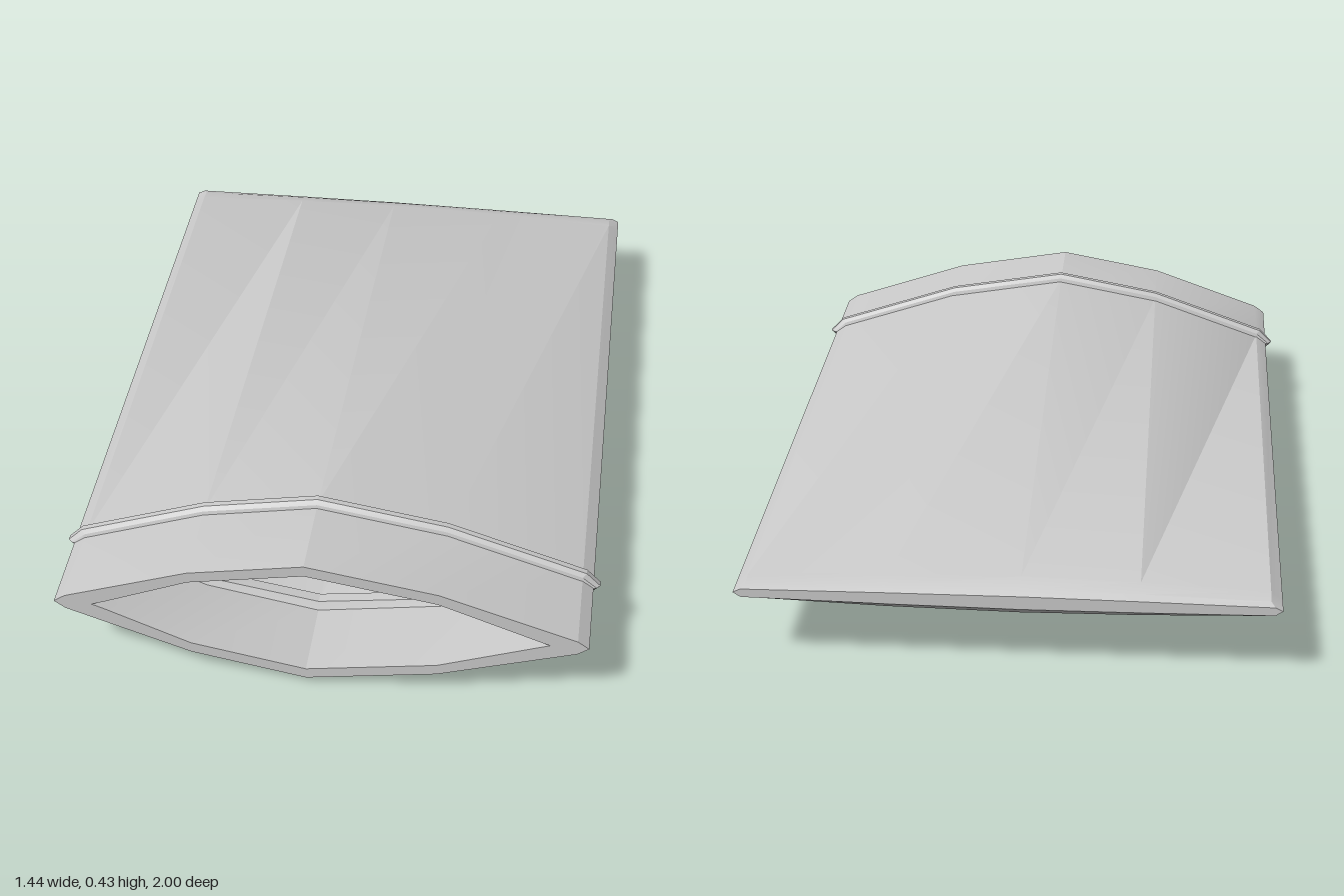
import * as THREE from 'three';
import { toCreasedNormals } from 'three/addons/utils/BufferGeometryUtils.js';

const MID = 0.22; // height of the side seams

// Lens-shaped ring: half heights at centre, quarter and edge, then edge and tip widths.
// The underside can be made fuller than the top.
function lens([z, centre, quarter, edge, edgeX, tipX, fullness = 1]) {
  const top = [
    [edgeX, edge], [0.31, quarter], [-0.035, centre], [-0.34, quarter], [-edgeX, edge],
  ];
  const bottom = top.map(([x, h]) => [x, -h * fullness]).reverse();
  return [[tipX, 0], ...top, [-tipX, 0], ...bottom].map(([x, h]) => [x, MID + h, z]);
}

// Skin over successive rings, with optional flat caps at both ends
function loft(sections, capped) {
  const rings = sections.map(lens);
  const n = rings[0].length;
  const index = [];
  for (let i = 0; i < rings.length - 1; i++) {
    for (let j = 0; j < n; j++) {
      const a = i * n + j, b = i * n + (j + 1) % n;
      index.push(a, b, b + n, a, b + n, a + n);
    }
  }
  if (capped) {
    const last = (rings.length - 1) * n;
    for (let j = 1; j < n - 1; j++) {
      index.push(0, j + 1, j);
      index.push(last, last + j, last + j + 1);
    }
  }
  const geometry = new THREE.BufferGeometry();
  geometry.setAttribute('position', new THREE.Float32BufferAttribute(rings.flat(2), 3));
  geometry.setIndex(index);
  return toCreasedNormals(geometry, 0.3);
}

export function createModel() {
  const group = new THREE.Group();
  const material = new THREE.MeshStandardMaterial({ color: 0xcccccc });
  const add = (name, geometry) => {
    const mesh = new THREE.Mesh(geometry, material);
    mesh.name = name;
    group.add(mesh);
  };

  // Pouch: outside from back to mouth, over the rim, then inside to the back
  add('pouch', loft([
    [-1.00, 0.016, 0.014, 0.010, 0.68, 0.70, 1.3],
    [-0.98, 0.027, 0.024, 0.016, 0.67, 0.70, 1.5],
    [-0.94, 0.042, 0.036, 0.022, 0.67, 0.70, 1.03],
    [0.75, 0.197, 0.140, 0.022, 0.67, 0.70],
    [1.00, 0.197, 0.140, 0.022, 0.67, 0.70],
    [1.00, 0.165, 0.108, 0.011, 0.57, 0.60],
    // raised strip inside the mouth
    [0.775, 0.165, 0.108, 0.011, 0.57, 0.60],
    [0.765, 0.142, 0.090, 0.009, 0.53, 0.56],
    [0.735, 0.142, 0.090, 0.009, 0.53, 0.56],
    [0.725, 0.163, 0.106, 0.011, 0.57, 0.60],
    [-0.85, 0.034, 0.024, 0.005, 0.54, 0.58],
  ], true));

  // Closure ridge: an open band whose two rims sink into the pouch wall
  add('closureRidge', loft([
    [0.728, 0.188, 0.132, 0.016, 0.66, 0.690],
    [0.733, 0.206, 0.150, 0.032, 0.670, 0.708],
    [0.743, 0.217, 0.160, 0.039, 0.680, 0.718],
    [0.759, 0.217, 0.160, 0.039, 0.680, 0.718],
    [0.769, 0.206, 0.150, 0.032, 0.670, 0.708],
    [0.774, 0.188, 0.132, 0.016, 0.66, 0.690],
  ], false));

  // Rest the lowest point of the ridge on the ground
  group.children.forEach((mesh) => { mesh.position.y = 0.217 - MID; });
  return group;
}
